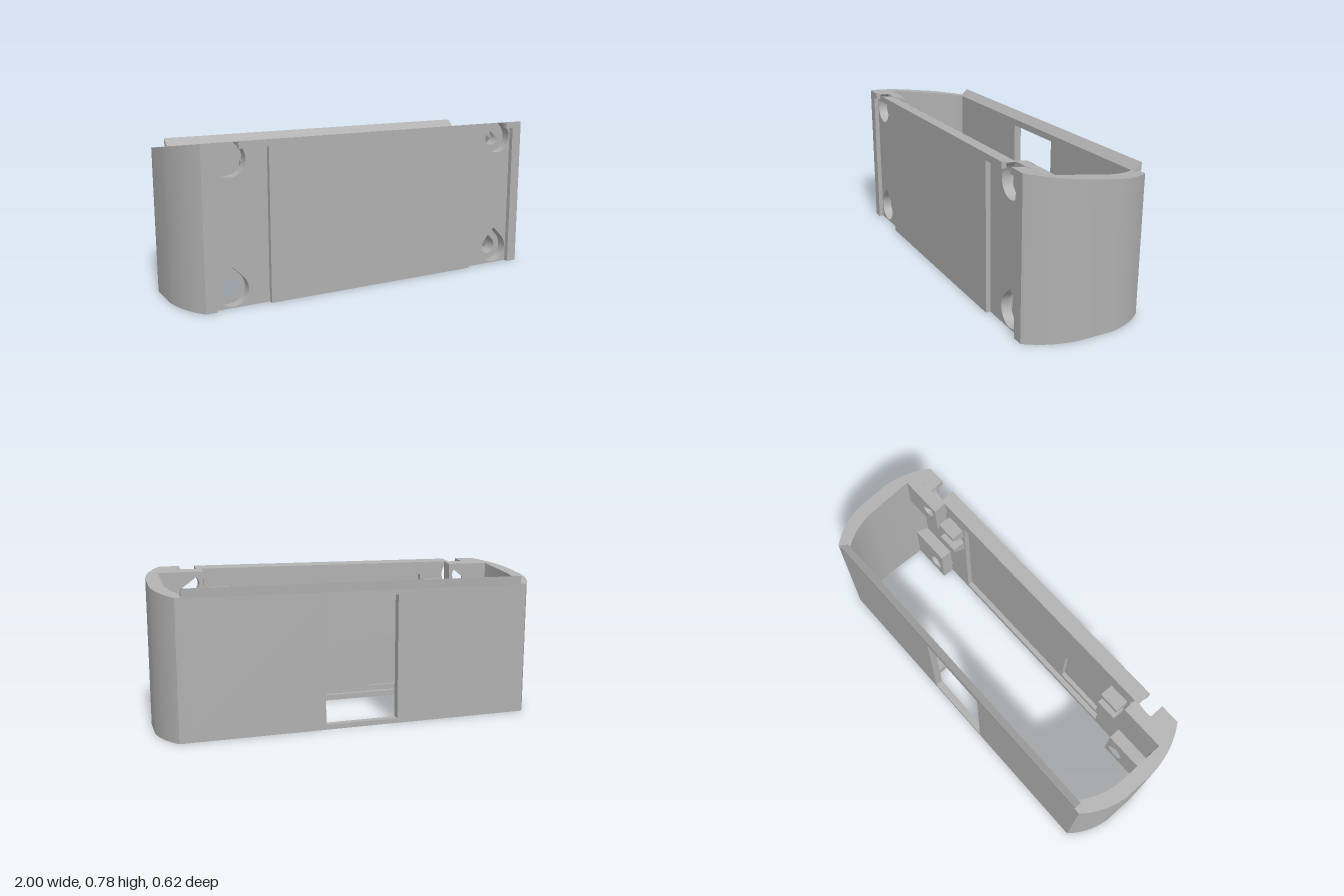
import * as THREE from 'three';
import { toCreasedNormals } from 'three/addons/utils/BufferGeometryUtils.js';

const grey = new THREE.MeshStandardMaterial({ color: 0xb0b0b0 });
grey.name = 'grey plastic';

const SCREW_X = 0.765, LOW_Y = 0.085, HIGH_Y = 0.695;
const BORE_R = 0.08, HOLE_R = 0.045;
const TALL = 0.9; // anything this high is trimmed to the sloping rim
const rimY = z => 0.733 + 0.144 * z;

const shapeOf = pts => new THREE.Shape(pts.map(p => new THREE.Vector2(p[0], p[1])));
const rect = (x0, y0, x1, y1) => shapeOf([[x0, y0], [x1, y0], [x1, y1], [x0, y1]]);

// Trim a geometry to the sloping top and finish its normals
function finish(geo) {
  const p = geo.attributes.position;
  for (let i = 0; i < p.count; i++) {
    if (p.getY(i) > 0.85) p.setY(i, rimY(p.getZ(i)));
  }
  geo.computeVertexNormals();
  return toCreasedNormals(geo, 0.5);
}

function extrude(shape, depth) {
  return new THREE.ExtrudeGeometry(shape, { depth, bevelEnabled: false, curveSegments: 14 });
}

// Round hole with a pointed top, or just its arc below the 45 degree shoulders
function arcPoints(cx, cy, r) {
  const pts = [];
  for (let i = 0; i <= 20; i++) {
    const a = Math.PI / 4 - (i / 20) * Math.PI * 1.5;
    pts.push([cx + r * Math.cos(a), cy + r * Math.sin(a)]);
  }
  return pts;
}
const teardrop = (cx, cy, r) => shapeOf([[cx, cy + r * Math.SQRT2], ...arcPoints(cx, cy, r)]);

// Bore that opens through the rim by a narrow slot
const openBore = cx => [
  [cx + 0.04, TALL], [cx + 0.04, HIGH_Y + 0.073],
  ...arcPoints(cx, HIGH_Y, BORE_R),
  [cx - 0.04, HIGH_Y + 0.073], [cx - 0.04, TALL]
];

// Full-width front outline with the four screw bores
function frontShape() {
  const s = shapeOf([
    [-0.905, 0], [0.905, 0], [0.905, TALL],
    ...openBore(SCREW_X), ...openBore(-SCREW_X), [-0.905, TALL]
  ]);
  for (const k of [1, -1]) s.holes.push(teardrop(k * SCREW_X, LOW_Y, BORE_R));
  return s;
}

export function createModel() {
  const model = new THREE.Group();
  const add = (name, geo) => {
    const m = new THREE.Mesh(finish(geo), grey);
    m.name = name;
    model.add(m);
  };
  // Plate in the xy plane between two depths
  const plate = (name, shape, z0, z1) => add(name, extrude(shape, z1 - z0).translate(0, 0, z0));
  // Plan shape (x, -z) raised between two heights
  const raise = (name, shape, y0, y1) =>
    add(name, extrude(shape, y1 - y0).rotateX(-Math.PI / 2).translate(0, y0, 0));
  // Profile (z, y) drawn out along x
  const bar = (name, pts, x0, x1) =>
    add(name, extrude(shapeOf(pts), x1 - x0).rotateY(-Math.PI / 2).translate(x1, 0, 0));

  // Front skin: centre panel and corner strips leave shallow recesses between
  plate('frontPanel', shapeOf([
    [-0.58, 0], [0.58, 0], [0.58, 0.745], [0.725, 0.745], [0.725, TALL],
    [-0.725, TALL], [-0.725, 0.745], [-0.58, 0.745]
  ]), 0.285, 0.309);

  // Front wall with a square pocket inside
  const wall = frontShape();
  wall.holes.push(rect(-0.52, 0.06, -0.24, 0.34));
  plate('frontWall', wall, 0.262, 0.285);

  // Inner frame around the thinned front wall
  const frame = frontShape();
  frame.holes.push(rect(-0.55, 0.03, 0.55, 0.7));
  plate('frontInnerFrame', frame, 0.235, 0.262);

  for (const k of [1, -1]) {
    const side = k > 0 ? 'left' : 'right';
    const m = pts => shapeOf(pts.map(([x, y]) => [k * x, y]));

    plate(side + 'FrontStrip', m([
      [0.905, 0], [0.85, 0], [0.85, 0.745], [0.805, 0.745], [0.805, TALL], [0.905, TALL]
    ]), 0.285, 0.309);

    // Rounded end wall
    const end = new THREE.Shape();
    end.moveTo(k * 0.905, -0.309);
    end.quadraticCurveTo(k * 0.985, -0.21, k * 1, -0.07);
    end.lineTo(k * 1, 0.1);
    end.quadraticCurveTo(k * 0.985, 0.22, k * 0.91, 0.309);
    end.lineTo(k * 0.86, 0.309);
    end.lineTo(k * 0.86, 0.27);
    end.quadraticCurveTo(k * 0.92, 0.19, k * 0.93, 0.08);
    end.lineTo(k * 0.93, -0.18);
    end.lineTo(k * 0.905, -0.235);
    raise(side + 'EndWall', end, 0, TALL);

    // Screw bosses
    const upper = m([[0.7, 0.58], [0.94, 0.58], [0.94, TALL], [0.7, TALL]]);
    upper.holes.push(teardrop(k * SCREW_X, HIGH_Y, HOLE_R));
    plate(side + 'UpperBoss', upper, 0.17, 0.235);
    const lower = m([[0.7, 0], [0.94, 0], [0.94, 0.23], [0.7, 0.23]]);
    lower.holes.push(teardrop(k * SCREW_X, LOW_Y, HOLE_R));
    plate(side + 'LowerBoss', lower, 0.17, 0.235);

    // Small wedge clips
    for (const y of [0.67, 0.545]) {
      const x = k * 0.615;
      bar(side + 'Clip', [[0.24, y], [0.165, y], [0.165, y - 0.03], [0.24, y - 0.075]],
        x - 0.055, x + 0.055);
    }

    // Slotted tab at the foot of the back wall
    const tab = m([[0.24, 0.18], [0.78, 0.18], [0.78, 0.275], [0.24, 0.275]]);
    tab.holes.push(m([[0.29, 0.205], [0.73, 0.205], [0.73, 0.255], [0.29, 0.255]]));
    raise(side + 'TabFrame', tab, 0, 0.04);
    raise(side + 'TabRoof', m([[0.24, 0.18], [0.78, 0.18], [0.78, 0.275], [0.24, 0.275]]), 0.04, 0.05);
  }

  // Back wall with its window
  const back = rect(-0.88, 0, 0.88, TALL);
  back.holes.push(rect(-0.19, 0.025, 0.19, 0.66));
  plate('backWall', back, -0.309, -0.27);

  // Pointed lip along the back rim
  bar('backLip', [[-0.27, 0.694], [-0.312, 0.73], [-0.309, 0.685]], -0.88, 0.88);

  return model;
}
